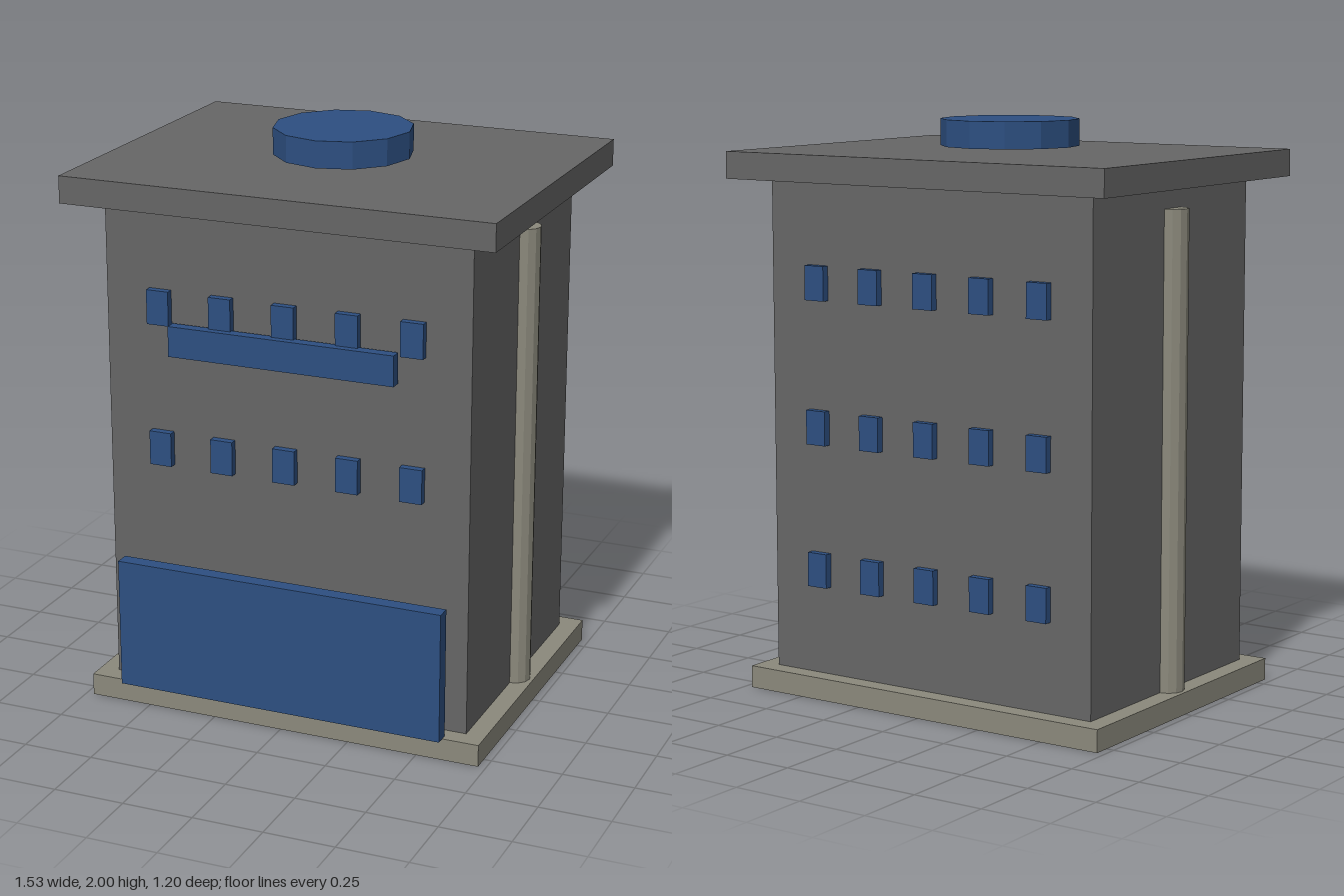
import * as THREE from 'three';

const concrete = new THREE.MeshStandardMaterial({ color: 0x666666 });
concrete.name = 'dark grey concrete';
const stone = new THREE.MeshStandardMaterial({ color: 0x8b897c });
stone.name = 'warm grey stone';
const blue = new THREE.MeshStandardMaterial({ color: 0x2d4f81 });
blue.name = 'deep blue';

// Box given by its minimum and maximum corners
function box(name, material, [x0, y0, z0], [x1, y1, z1]) {
  const mesh = new THREE.Mesh(new THREE.BoxGeometry(x1 - x0, y1 - y0, z1 - z0), material);
  mesh.position.set((x0 + x1) / 2, (y0 + y1) / 2, (z0 + z1) / 2);
  mesh.name = name;
  return mesh;
}

// Faceted upright cylinder between two heights
function drum(name, material, radius, y0, y1, x = 0) {
  const geometry = new THREE.CylinderGeometry(radius, radius, y1 - y0, 12).toNonIndexed();
  geometry.computeVertexNormals();
  const mesh = new THREE.Mesh(geometry, material);
  mesh.position.set(x, (y0 + y1) / 2, 0);
  mesh.name = name;
  return mesh;
}

export function createModel() {
  const building = new THREE.Group();
  building.name = 'building';

  // Main masses
  building.add(
    box('base', stone, [-0.723, 0, -0.558], [0.723, 0.078, 0.558]),
    box('walls', concrete, [-0.655, 0.078, -0.491], [0.655, 1.79, 0.491]),
    box('roof', concrete, [-0.766, 1.797, -0.602], [0.766, 1.891, 0.602]),
    drum('roofDisc', blue, 0.24, 1.907, 2)
  );

  // Columns sunk halfway into the side walls
  for (const side of [-1, 1]) {
    building.add(drum(side > 0 ? 'leftColumn' : 'rightColumn', stone, 0.055, 0.078, 1.722, side * 0.655));
  }

  // Front entrance panel and balcony, standing just clear of the wall
  building.add(
    box('entrancePanel', blue, [-0.594, 0.078, 0.535], [0.594, 0.54, 0.588]),
    box('balcony', blue, [-0.405, 1.292, 0.505], [0.405, 1.398, 0.545])
  );

  // Three floors of five windows on the front and back
  const windows = new THREE.Group();
  windows.name = 'windows';
  for (const z of [-0.503, 0.503]) {
    for (const y of [0.448, 0.948, 1.448]) {
      for (let i = -2; i <= 2; i++) {
        const x = i * 0.228;
        windows.add(box('window', blue, [x - 0.04, y - 0.06, z - 0.015], [x + 0.04, y + 0.06, z + 0.015]));
      }
    }
  }
  building.add(windows);
  return building;
}
